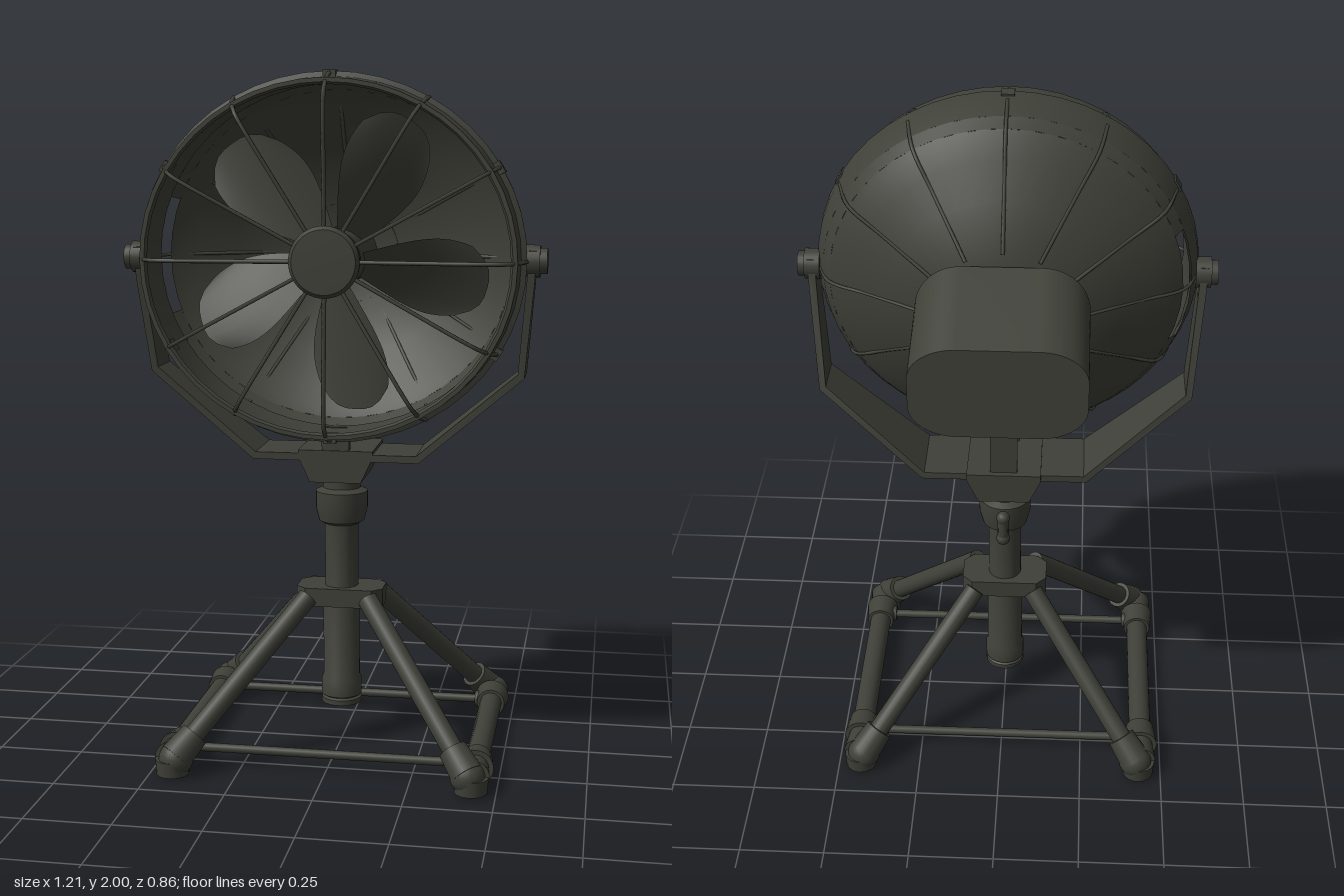
import * as THREE from 'three';
import { toCreasedNormals } from 'three/addons/utils/BufferGeometryUtils.js';

const paint = new THREE.MeshStandardMaterial({ color: 0x3f4038, side: THREE.DoubleSide });
paint.name = 'dark olive paint';

const V = (x, y, z) => new THREE.Vector3(x, y, z);

function add(parent, name, geo, x = 0, y = 0, z = 0) {
  const mesh = new THREE.Mesh(geo, paint);
  mesh.name = name;
  mesh.position.set(x, y, z);
  parent.add(mesh);
  return mesh;
}

// Straight round bar between two points
function rod(parent, name, a, b, r, rEnd = r, sides = 20) {
  const dir = b.clone().sub(a);
  const mesh = add(parent, name, new THREE.CylinderGeometry(rEnd, r, dir.length(), sides));
  mesh.position.copy(a).add(b).multiplyScalar(0.5);
  mesh.quaternion.setFromUnitVectors(V(0, 1, 0), dir.normalize());
  return mesh;
}

// Lathe around the z axis from [radius, z] pairs
function latheZ(profile, start = 0, length = Math.PI * 2) {
  const pts = profile.map(([r, z]) => new THREE.Vector2(r, z));
  return toCreasedNormals(new THREE.LatheGeometry(pts, 48, start, length).rotateX(Math.PI / 2), 0.6);
}

// Bent wire in the plane of one spoke, from [radius, z] pairs
function spoke(parent, name, profile, angle, r) {
  const path = new THREE.CatmullRomCurve3(
    profile.map(([d, z]) => V(d * Math.cos(angle), d * Math.sin(angle), z)), false, 'centripetal');
  add(parent, name, new THREE.TubeGeometry(path, 20, r, 6));
}

// Flat strap swept through [x, y, zCentre, width] sections
function strap(sections, t) {
  const pos = [], index = [];
  sections.forEach(([x, y, z, w], i) => {
    const p = sections[Math.max(i - 1, 0)], n = sections[Math.min(i + 1, sections.length - 1)];
    const len = Math.hypot(n[0] - p[0], n[1] - p[1]);
    const nx = -(n[1] - p[1]) / len * t, ny = (n[0] - p[0]) / len * t;
    for (const [s, e] of [[1, 1], [-1, 1], [-1, -1], [1, -1]]) pos.push(x + s * nx, y + s * ny, z + e * w / 2);
    if (i) for (let k = 0; k < 4; k++) {
      const a = (i - 1) * 4 + k, b = (i - 1) * 4 + (k + 1) % 4;
      index.push(a, b, a + 4, b, b + 4, a + 4);
    }
  });
  const last = (sections.length - 1) * 4;
  index.push(0, 2, 1, 0, 3, 2, last, last + 1, last + 2, last, last + 2, last + 3);
  const geo = new THREE.BufferGeometry();
  geo.setAttribute('position', new THREE.Float32BufferAttribute(pos, 3));
  geo.setIndex(index);
  return toCreasedNormals(geo, 0.3);
}

// Twisted blade with a rounded tip, pointing along +x
function bladeGeometry() {
  const geo = new THREE.PlaneGeometry(1, 1, 14, 8);
  const p = geo.attributes.position;
  for (let i = 0; i < p.count; i++) {
    const u = p.getX(i) + 0.5, v = p.getY(i) * 2;
    const half = (0.05 + 0.085 * Math.sin(Math.min(u * 1.25, 1) * Math.PI / 2)) * (1 - 0.15 * u ** 6);
    const r = 0.07 + 0.37 * u - 0.07 * u * Math.abs(v) ** 3;
    const pitch = 0.75 - 0.35 * u;
    p.setXYZ(i, r, v * half * Math.cos(pitch) + 0.04 * u, 0.1 + v * half * Math.sin(pitch));
  }
  geo.computeVertexNormals();
  return geo;
}

function buildHead() {
  const head = new THREE.Group();
  head.name = 'fanHead';
  head.position.y = 1.48;
  const drum = new THREE.Group();
  drum.name = 'drum';
  drum.scale.x = 1.06;
  head.add(drum);

  // Housing: front rim, slotted shoulder and rear bowl
  add(drum, 'frontRim', latheZ([[0.49, 0.09], [0.506, 0.2], [0.482, 0.27], [0.488, 0.28], [0.5, 0.28],
    [0.505, 0.205], [0.52, 0.2], [0.517, 0.15], [0.495, 0.085]]));
  add(drum, 'slottedShoulder', latheZ([[0.495, 0.085], [0.473, 0.05]], Math.PI * 1.5 + 0.35, Math.PI * 2 - 0.7));
  add(drum, 'rearBowl', latheZ([[0.473, 0.05], [0.45, 0.03], [0.405, 0], [0.305, -0.06], [0.17, -0.135], [0, -0.135]]));

  // Grille with centre cap, clips and rear ribs
  for (let i = 0; i < 12; i++) {
    const a = i * Math.PI / 6;
    spoke(drum, 'grilleWire', [[0.08, 0.295], [0.25, 0.305], [0.42, 0.312], [0.47, 0.3], [0.503, 0.25], [0.518, 0.19]], a, 0.006);
    spoke(drum, 'rearRib', [[0.515, 0.15], [0.475, 0.045], [0.36, -0.025], [0.19, -0.13]], a, 0.005);
    if (i % 2) continue;
    const clip = add(drum, 'grilleClip', new THREE.BoxGeometry(0.025, 0.035, 0.045),
      0.51 * Math.cos(a + Math.PI / 6), 0.51 * Math.sin(a + Math.PI / 6), 0.19);
    clip.rotation.z = a + Math.PI / 6;
  }
  add(head, 'grilleCap', latheZ([[0, 0.28], [0.098, 0.28], [0.1, 0.3], [0.09, 0.312], [0, 0.314]]));

  // Propeller
  add(head, 'propellerHub', latheZ([[0.085, -0.13], [0.085, 0.19], [0.07, 0.21], [0, 0.21]]));
  const blade = bladeGeometry();
  for (let i = 0; i < 5; i++) add(head, 'blade', blade).rotation.z = (56 + 72 * i) * Math.PI / 180;

  // Motor casing: rounded block whose top slopes down to the rear
  const w = 0.24, lo = -0.21, hi = 0.16, r = 0.13;
  const s = new THREE.Shape();
  s.absarc(w - r, lo + r, r, -Math.PI / 2, 0);
  s.absarc(w - r, hi - r, r, 0, Math.PI / 2);
  s.absarc(-w + r, hi - r, r, Math.PI / 2, Math.PI);
  s.absarc(-w + r, lo + r, r, Math.PI, Math.PI * 1.5);
  const motor = new THREE.ExtrudeGeometry(s, { depth: 0.27, bevelEnabled: false, curveSegments: 12 });
  motor.translate(0, 0, -0.415);
  const p = motor.attributes.position;
  for (let i = 0; i < p.count; i++) {
    const back = (-0.145 - p.getZ(i)) / 0.27;
    p.setY(i, lo + (p.getY(i) - lo) * (1 - 0.27 * back));
  }
  add(head, 'motorCasing', toCreasedNormals(motor, 0.6));
  add(head, 'motorNeck', latheZ([[0.15, -0.16], [0.15, -0.13]]));
  return head;
}

function buildYoke() {
  const yoke = new THREE.Group();
  yoke.name = 'yoke';
  const half = [[0.565, 1.51, 0.15, 0.07], [0.56, 1.42, 0.138, 0.08], [0.535, 1.15, 0.06, 0.13], [0.24, 0.9, 0.02, 0.2]];
  add(yoke, 'yokeStrap', strap([...half, ...half.map(([x, ...rest]) => [-x, ...rest]).reverse()], 0.011));
  for (const sx of [1, -1]) {
    rod(yoke, 'pivotBoss', V(sx * 0.54, 1.48, 0.15), V(sx * 0.585, 1.48, 0.15), 0.045);
    rod(yoke, 'pivotKnob', V(sx * 0.58, 1.48, 0.15), V(sx * 0.605, 1.48, 0.15), 0.036);
  }
  // Tapered saddle under the strap
  const saddle = new THREE.Shape([[-0.075, 0.825], [0.075, 0.825], [0.11, 0.9], [0.11, 0.92], [-0.11, 0.92], [-0.11, 0.9]]
    .map(([x, y]) => new THREE.Vector2(x, y)));
  add(yoke, 'saddle', new THREE.ExtrudeGeometry(saddle, { depth: 0.22, bevelEnabled: false }), 0, 0, -0.1);
  add(yoke, 'rearStay', new THREE.BoxGeometry(0.08, 0.3, 0.025), 0, 1.05, -0.07);
  add(yoke, 'stayHead', new THREE.BoxGeometry(0.14, 0.03, 0.03), 0, 1.2, -0.07);
  add(yoke, 'frontStay', new THREE.BoxGeometry(0.08, 0.1, 0.03), 0, 0.94, 0.1);
  return yoke;
}

function buildStand() {
  const stand = new THREE.Group();
  stand.name = 'stand';
  // Telescopic column
  const column = [[0, 0.125], [0.06, 0.125], [0.06, 0.14], [0.052, 0.145], [0.06, 0.15], [0.06, 0.2], [0.055, 0.21],
    [0.055, 0.45], [0.05, 0.47], [0.05, 0.68], [0.068, 0.69], [0.078, 0.73], [0.078, 0.78], [0.056, 0.79], [0.056, 0.83]]
    .map(([r, y]) => new THREE.Vector2(r, y));
  add(stand, 'column', toCreasedNormals(new THREE.LatheGeometry(column, 28), 0.6));
  rod(stand, 'clampScrew', V(0, 0.74, -0.06), V(0, 0.74, -0.13), 0.016);
  rod(stand, 'clampHandle', V(0, 0.7, -0.12), V(0, 0.785, -0.12), 0.017);
  for (const y of [0.705, 0.78]) add(stand, 'handleTip', new THREE.SphereGeometry(0.021, 12, 8), 0, y, -0.12);

  // Leg hub: chamfered plate
  const c = [[-0.13, -0.04], [-0.1, -0.07], [0.1, -0.07], [0.13, -0.04], [0.13, 0.04], [0.1, 0.07], [-0.1, 0.07], [-0.13, 0.04]];
  const hub = new THREE.ExtrudeGeometry(new THREE.Shape(c.map(([x, y]) => new THREE.Vector2(x, y))),
    { depth: 0.055, bevelEnabled: false }).rotateX(-Math.PI / 2);
  add(stand, 'legHub', hub, 0, 0.435, 0);

  for (const sx of [1, -1]) {
    rod(stand, 'sidePipe', V(sx * 0.437, 0.055, -0.38), V(sx * 0.437, 0.055, 0.38), 0.034);
    for (const sz of [1, -1]) {
      const foot = V(sx * 0.42, 0.06, sz * 0.385);
      rod(stand, 'leg', foot, V(sx * 0.09, 0.465, sz * 0.075), 0.03);
      rod(stand, 'legSocket', foot, V(sx * 0.375, 0.115, sz * 0.343), 0.048, 0.042);
      add(stand, 'footElbow', new THREE.SphereGeometry(0.05, 20, 14), sx * 0.42, 0.055, sz * 0.382);
      rod(stand, 'footPad', V(sx * 0.43, 0.01, sz * 0.382), V(sx * 0.43, 0.055, sz * 0.382), 0.047, 0.05);
      rod(stand, 'footSleeve', V(sx * 0.437, 0.055, sz * 0.38), V(sx * 0.437, 0.055, sz * 0.31), 0.046, 0.038);
      rod(stand, 'coupling', V(sx * 0.437, 0.055, sz * 0.24), V(sx * 0.437, 0.055, sz * 0.312), 0.043, 0.052);
      rod(stand, 'crossBarSocket', V(sx * 0.437, 0.055, sz * 0.28), V(sx * 0.385, 0.055, sz * 0.28), 0.03, 0.024);
    }
  }
  for (const z of [-0.28, 0.28]) rod(stand, 'crossBar', V(-0.43, 0.055, z), V(0.43, 0.055, z), 0.013);
  return stand;
}

export function createModel() {
  const model = new THREE.Group();
  model.name = 'floorFan';
  model.add(buildHead(), buildYoke(), buildStand());
  return model;
}
